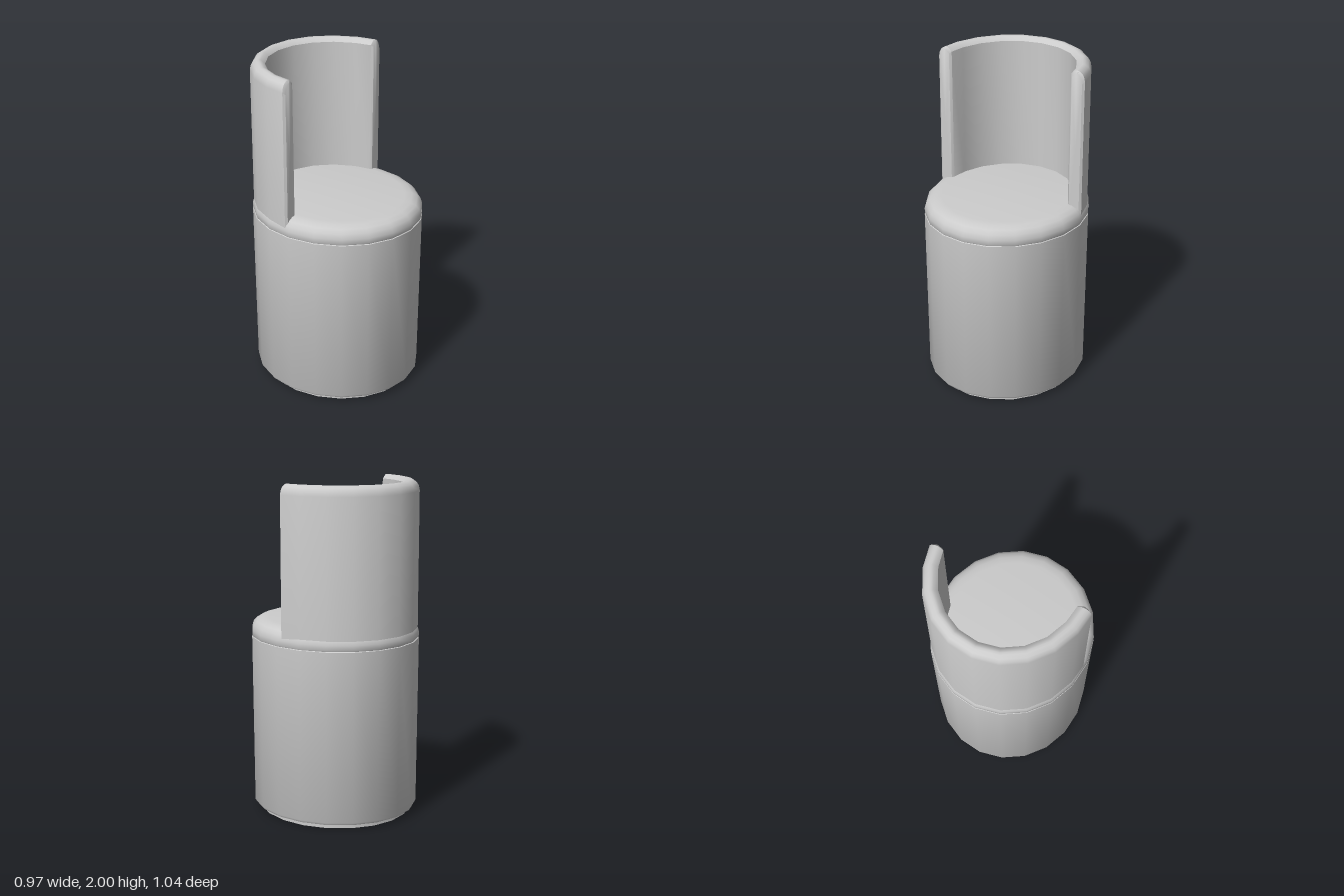
import * as THREE from 'three';
import { toCreasedNormals } from 'three/addons/utils/BufferGeometryUtils.js';

const SIDES = 20;
const RX = 0.485, RZ = 0.52; // half width and half depth of the oval plan
const material = new THREE.MeshStandardMaterial({ color: 0xcccccc });

function addPart(group, name, geometry) {
  const mesh = new THREE.Mesh(toCreasedNormals(geometry, 0.75), material);
  mesh.name = name;
  group.add(mesh);
}

// Oval turned part; profile is [inset from the outer wall, height], null inset = axis
function turned(profile) {
  const pts = profile.map(([d, y]) => new THREE.Vector2(d === null ? 0 : RX - d, y));
  return new THREE.LatheGeometry(pts, SIDES).scale(1, 1, RZ / RX);
}

// Half-round back: one cross-section swept around the rear half, with eased ends
function backrestGeometry() {
  const profile = [
    [0.008, 1.06], [0.008, 1.94], [0.013, 1.965], [0.025, 1.985], [0.045, 1.998], [0.058, 2],
    [0.072, 1.998], [0.095, 1.975], [0.097, 1.06],
  ];
  const n = profile.length, mid = [0.053, 1.5];
  const pos = [], index = [];
  const endRing = (side, z, ease) => profile.forEach(([d, y]) => {
    const inset = d + Math.sign(mid[0] - d) * Math.min(ease, Math.abs(mid[0] - d));
    pos.push(side * (RX - inset) * 0.997, y > 1.9 ? y - ease : y, z);
  });

  endRing(1, -0.02, 0.012);
  endRing(1, -0.032, 0);
  for (let i = 1; i < SIDES / 2; i++) {
    const t = (i / SIDES) * Math.PI * 2;
    for (const [d, y] of profile) pos.push((RX - d) * Math.cos(t), y, -(RZ - d) * Math.sin(t));
  }
  endRing(-1, -0.032, 0);
  endRing(-1, -0.02, 0.012);

  const rings = pos.length / 3 / n;
  for (let i = 0; i < rings - 1; i++) {
    for (let j = 0; j < n; j++) {
      const k = (j + 1) % n;
      const a = i * n + j, b = i * n + k, c = a + n, e = b + n;
      index.push(a, c, b, b, c, e);
    }
  }
  // End caps
  const capA = pos.length / 3, capB = capA + 1, last = (rings - 1) * n;
  pos.push(RX - mid[0], mid[1], -0.02, mid[0] - RX, mid[1], -0.02);
  for (let j = 0; j < n; j++) {
    const k = (j + 1) % n;
    index.push(capA, j, k, capB, last + k, last + j);
  }
  const g = new THREE.BufferGeometry();
  g.setAttribute('position', new THREE.Float32BufferAttribute(pos, 3));
  g.setIndex(index);
  return g;
}

export function createModel() {
  const group = new THREE.Group();
  group.name = 'tubChair';

  // Recessed foot
  addPart(group, 'plinth', turned([[null, 0], [0.045, 0], [0.045, 0.035]]));

  // Drum-shaped base, very slightly wider at the top
  addPart(group, 'base', turned([
    [null, 0.025], [0.04, 0.025], [0.014, 0.031], [0.006, 0.045], [0, 1.066], [0.006, 1.07], [null, 1.07],
  ]));

  // Seat cushion with a rounded rim
  addPart(group, 'seatCushion', turned([
    [0.006, 1.066], [0.001, 1.075], [0.001, 1.105], [0.01, 1.135], [0.03, 1.157],
    [0.06, 1.17], [0.1, 1.175], [null, 1.175],
  ]));

  addPart(group, 'backrest', backrestGeometry());
  return group;
}
